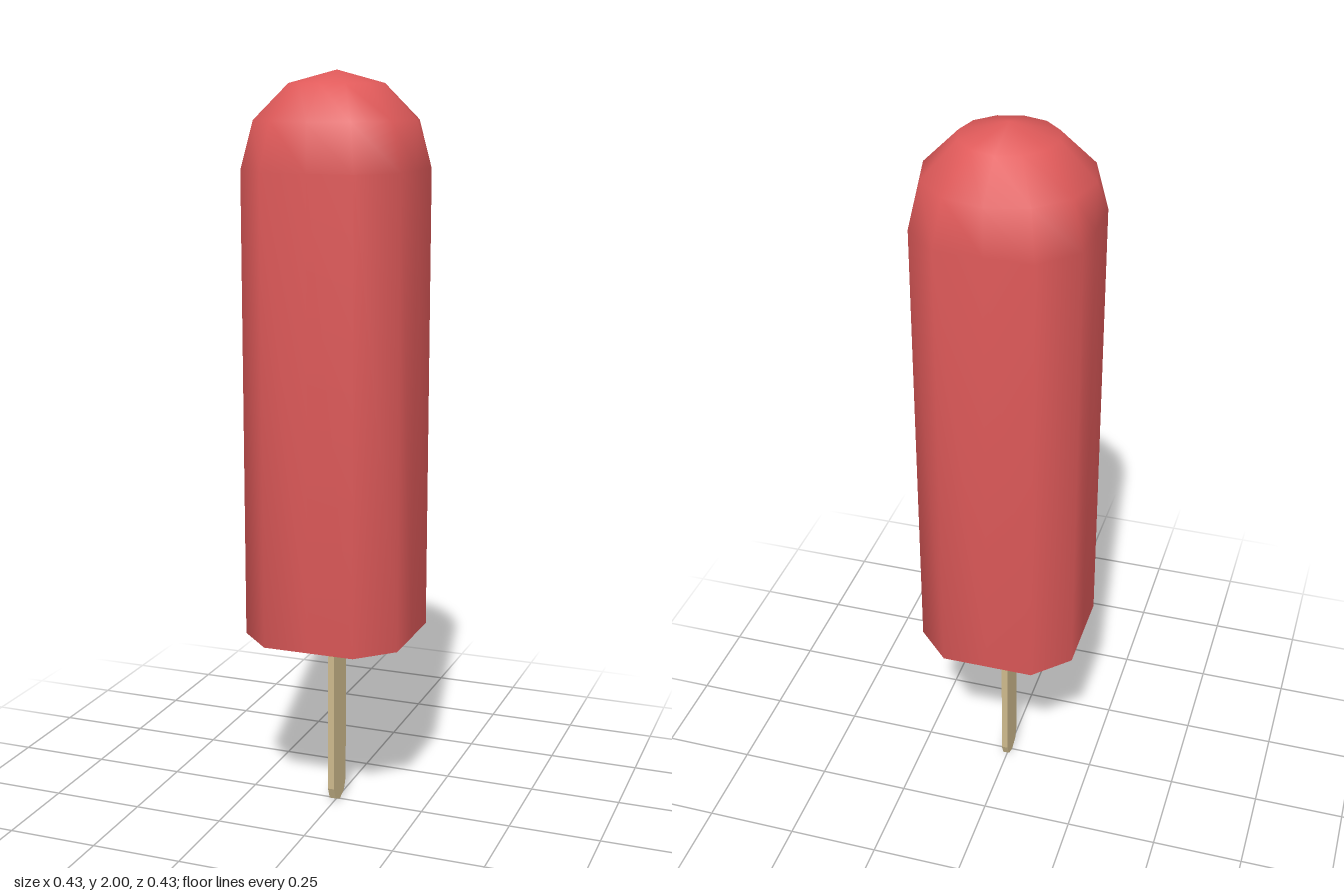
import * as THREE from 'three';
import { mergeVertices } from 'three/addons/utils/BufferGeometryUtils.js';

const RADIUS = 0.25, FLAT = 0.2165, DOME_Y = 1.75, BASE_Y = 0.505;

// Twelve-sided bar with a domed top, its four sides pressed flat
function createIce() {
  const profile = [new THREE.Vector2(0, BASE_Y), new THREE.Vector2(RADIUS, BASE_Y)];
  for (let i = 0; i <= 3; i++) {
    const a = i * Math.PI / 6;
    profile.push(new THREE.Vector2(i === 3 ? 0 : RADIUS * Math.cos(a), DOME_Y + RADIUS * Math.sin(a)));
  }
  let geometry = new THREE.LatheGeometry(profile, 12);
  const pos = geometry.attributes.position;
  for (let i = 0; i < pos.count; i++) {
    pos.setX(i, THREE.MathUtils.clamp(pos.getX(i), -FLAT, FLAT));
    pos.setZ(i, THREE.MathUtils.clamp(pos.getZ(i), -FLAT, FLAT));
  }
  // Share vertices so the whole bar shades smoothly
  geometry.deleteAttribute('normal');
  geometry.deleteAttribute('uv');
  geometry = mergeVertices(geometry, 1e-4);
  geometry.computeVertexNormals();
  const ice = new THREE.Mesh(geometry, new THREE.MeshStandardMaterial({ color: 0xe05a5a }));
  ice.name = 'iceBar';
  return ice;
}

// Thin flat stick with a rounded lower end, running up into the bar
function createStick() {
  const r = 0.047, thickness = 0.018, top = BASE_Y + 0.1;
  const shape = new THREE.Shape();
  shape.moveTo(r, top);
  shape.lineTo(-r, top);
  for (let i = 0; i <= 4; i++) {
    const a = Math.PI + i * Math.PI / 4;
    shape.lineTo(r * Math.cos(a), r + r * Math.sin(a));
  }
  const geometry = new THREE.ExtrudeGeometry(shape, { depth: thickness, bevelEnabled: false });
  geometry.translate(0, 0, -thickness / 2);
  geometry.rotateY(Math.PI / 2);
  const stick = new THREE.Mesh(geometry, new THREE.MeshStandardMaterial({ color: 0xcdb98c }));
  stick.name = 'stick';
  return stick;
}

export function createModel() {
  const model = new THREE.Group();
  model.name = 'icePop';
  model.add(createIce(), createStick());
  return model;
}
